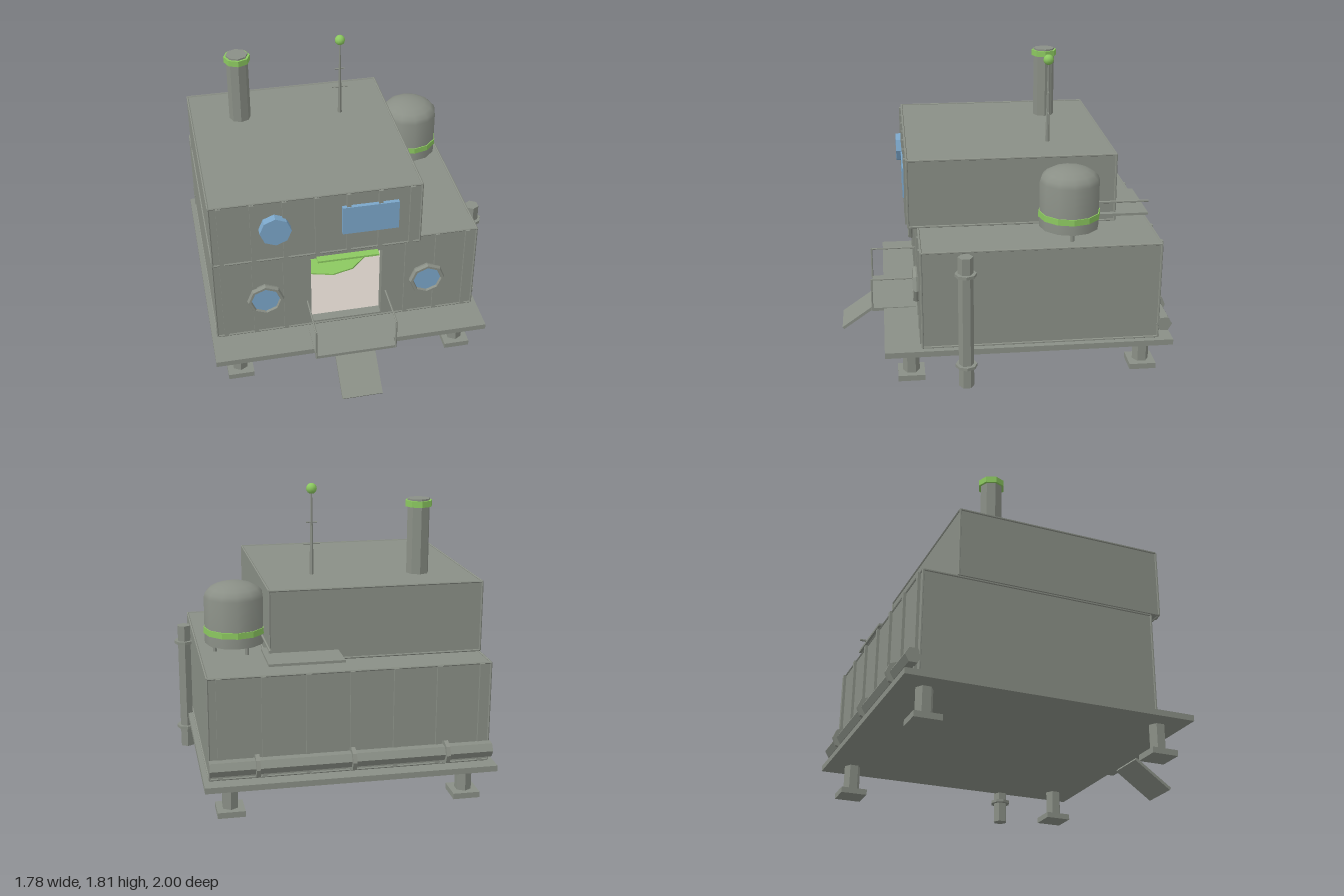
import * as THREE from 'three';
import { toCreasedNormals } from 'three/addons/utils/BufferGeometryUtils.js';

export function createModel() {
  const model = new THREE.Group();
  const colour = (name, color) => {
    const m = new THREE.MeshStandardMaterial({ color });
    m.name = name;
    return m;
  };
  const grey = colour('wall grey', 0x8a8f86);
  const green = colour('accent green', 0x8cc860);
  const blue = colour('window blue', 0x7ba6c9);
  const beige = colour('interior beige', 0xcbc3bc);

  // Helpers
  const add = (name, geo, mat, x = 0, y = 0, z = 0, parent = model) => {
    const m = new THREE.Mesh(geo, mat);
    m.name = name;
    m.position.set(x, y, z);
    parent.add(m);
    return m;
  };
  const box = (name, mat, x0, x1, y0, y1, z0, z1) =>
    add(name, new THREE.BoxGeometry(x1 - x0, y1 - y0, z1 - z0), mat, (x0 + x1) / 2, (y0 + y1) / 2, (z0 + z1) / 2);
  const flat = (geo) => toCreasedNormals(geo, 0.5);
  const pole = (name, mat, r, y0, y1, x, z, sides = 6, rTop = r) =>
    add(name, flat(new THREE.CylinderGeometry(rTop, r, y1 - y0, sides)), mat, x, (y0 + y1) / 2, z);
  const rod = (name, mat, r, a, b, sides = 6) => {
    const from = new THREE.Vector3(...a), to = new THREE.Vector3(...b);
    const dir = to.clone().sub(from);
    const m = add(name, flat(new THREE.CylinderGeometry(r, r, dir.length(), sides)), mat);
    m.position.copy(from).add(to).multiplyScalar(0.5);
    m.quaternion.setFromUnitVectors(new THREE.Vector3(0, 1, 0), dir.normalize());
    return m;
  };
  // Thin round trim along all twelve edges of a block
  const edgeTrim = (name, x0, x1, y0, y1, z0, z1) => {
    for (const y of [y0, y1]) {
      for (const z of [z0, z1]) rod(name, grey, 0.007, [x0, y, z], [x1, y, z]);
      for (const x of [x0, x1]) rod(name, grey, 0.007, [x, y, z0], [x, y, z1]);
    }
    for (const x of [x0, x1]) for (const z of [z0, z1]) rod(name, grey, 0.007, [x, y0, z], [x, y1, z]);
  };

  // Deck on four legs
  box('deck', grey, -0.89, 0.815, 0.195, 0.23, -0.985, 0.73);
  for (const x of [-0.735, 0.66]) for (const z of [-0.825, 0.575]) {
    pole('leg', grey, 0.05, 0.03, 0.2, x, z);
    box('foot', grey, x - 0.08, x + 0.08, 0, 0.035, z - 0.08, z + 0.08);
  }

  // Hollow lower storey; the front wall has a doorway
  const front = new THREE.Shape([[-0.855, 0.24], [0.78, 0.24], [0.78, 0.835], [-0.855, 0.835]]
    .map((p) => new THREE.Vector2(...p)));
  front.holes.push(new THREE.Path([[-0.26, 0.255], [-0.26, 0.76], [0.185, 0.76], [0.185, 0.255]]
    .map((p) => new THREE.Vector2(...p))));
  add('frontWall', new THREE.ExtrudeGeometry(front, { depth: 0.06, bevelEnabled: false }), grey, 0, 0, 0.447);
  box('backWall', grey, -0.855, 0.78, 0.24, 0.835, -0.895, -0.85);
  box('rightWall', grey, -0.855, -0.81, 0.24, 0.835, -0.85, 0.447);
  box('leftWall', grey, 0.735, 0.78, 0.24, 0.835, -0.85, 0.447);
  box('lowerRoof', grey, -0.81, 0.735, 0.8, 0.835, -0.85, 0.447);
  edgeTrim('lowerTrim', -0.855, 0.78, 0.238, 0.835, -0.895, 0.507);

  // Room lining, rug and hanging lamp
  box('roomFloor', beige, -0.81, 0.735, 0.23, 0.25, -0.85, 0.447);
  box('roomCeiling', beige, -0.81, 0.735, 0.792, 0.8, -0.85, 0.447);
  box('roomBack', beige, -0.81, 0.735, 0.25, 0.792, -0.85, -0.842);
  box('roomSide', beige, -0.81, -0.802, 0.25, 0.792, -0.842, 0.447);
  box('roomSide', beige, 0.727, 0.735, 0.25, 0.792, -0.842, 0.447);
  pole('rug', green, 0.28, 0.25, 0.26, -0.037, -0.19, 12);
  const lamp = [[0, 0.625], [0.043, 0.66], [0.043, 0.683], [0.145, 0.683], [0.158, 0.695],
    [0.145, 0.708], [0.043, 0.708], [0.043, 0.735], [0.02, 0.755], [0.02, 0.795]];
  add('lamp', flat(new THREE.LatheGeometry(lamp.map((p) => new THREE.Vector2(...p)), 10)), green, -0.037, 0, -0.19);
  box('doorLintel', green, -0.225, 0.155, 0.76, 0.773, 0.505, 0.555);

  // Upper storey
  box('upperStorey', grey, -0.855, 0.4, 0.848, 1.265, -0.69, 0.565);
  edgeTrim('upperTrim', -0.855, 0.4, 0.848, 1.265, -0.69, 0.565);

  // Wall ribs
  for (let i = 0; i < 9; i++) {
    const x = -0.8 + i * 0.19;
    if (i < 3 || i > 5) box('frontRib', grey, x - 0.013, x + 0.013, 0.24, 0.835, 0.5, 0.522);
    if (i < 7) {
      box('upperRib', grey, x - 0.013, x + 0.013, 0.85, 1.263, 0.56, 0.583);
      const xb = -0.8 + i * 0.2533;
      box('backRib', grey, xb - 0.014, xb + 0.014, 0.24, 0.835, -0.912, -0.89);
    }
  }

  // Windows
  const disc = (r, depth) => flat(new THREE.CylinderGeometry(r, r, depth, 8).rotateX(Math.PI / 2));
  for (const x of [-0.547, 0.47]) {
    add('portholeGlass', disc(0.1, 0.03), blue, x, 0.508, 0.52);
    add('portholeRing', flat(new THREE.TorusGeometry(0.1, 0.015, 6, 8).scale(1, 1, 1.5)), grey, x, 0.508, 0.53);
  }
  add('roundWindow', disc(0.094, 0.05), blue, -0.48, 1.08, 0.59);
  box('wideWindow', blue, -0.08, 0.26, 0.985, 1.175, 0.56, 0.59);

  // Porch with railings and ramp
  box('porch', grey, -0.287, 0.215, 0.215, 0.235, 0.53, 0.802);
  for (const x of [-0.285, 0.212]) {
    rod('railPost', grey, 0.006, [x, 0.22, 0.802], [x, 0.435, 0.802]);
    rod('railTop', grey, 0.006, [x, 0.43, 0.808], [x, 0.43, 0.51]);
  }
  const ramp = add('ramp', new THREE.BoxGeometry(0.25, 0.018, 0.29), grey, -0.038, 0.123, 0.878);
  ramp.rotation.x = Math.atan2(0.165, 0.235);

  // Upright pipe with flanges on the left side
  pole('drainPipe', grey, 0.045, 0, 0.825, 0.825, 0.255);
  for (const y of [0.135, 0.715]) pole('pipeFlange', grey, 0.064, y - 0.009, y + 0.009, 0.825, 0.255, 8);

  // Horizontal pipe along the back
  rod('backPipe', grey, 0.047, [-0.86, 0.32, -0.932], [0.785, 0.32, -0.932]);
  for (const x of [-0.587, -0.037, 0.513])
    rod('pipeRing', grey, 0.07, [x - 0.012, 0.32, -0.932], [x + 0.012, 0.32, -0.932], 8);

  // Chimney
  pole('chimney', grey, 0.068, 1.26, 1.715, -0.547, -0.383, 8);
  pole('chimneyCollar', green, 0.082, 1.668, 1.705, -0.547, -0.383, 8);

  // Antenna
  pole('antennaMast', grey, 0.014, 1.26, 1.77, 0.088, -0.317, 6, 0.004);
  rod('antennaBar', grey, 0.004, [0.038, 1.45, -0.317], [0.138, 1.45, -0.317]);
  rod('antennaBar', grey, 0.004, [0.055, 1.58, -0.317], [0.121, 1.58, -0.317]);
  add('antennaBall', new THREE.SphereGeometry(0.032, 12, 8), green, 0.088, 1.78, -0.317);

  // Domed water tank on three legs
  const profile = [[0, 0.892], [0.178, 0.892], [0.178, 1.17]];
  for (let i = 1; i <= 5; i++) {
    const a = (i / 5) * Math.PI / 2;
    profile.push([i === 5 ? 0 : 0.178 * Math.cos(a), 1.17 + 0.088 * Math.sin(a)]);
  }
  add('tank', toCreasedNormals(new THREE.LatheGeometry(profile.map((p) => new THREE.Vector2(...p)), 12), 0.7),
    grey, 0.565, 0, -0.38);
  pole('tankBand', green, 0.184, 0.953, 0.99, 0.565, -0.38, 12);
  for (let i = 0; i < 3; i++) {
    const a = (i * Math.PI * 2) / 3;
    pole('tankLeg', grey, 0.013, 0.83, 0.9, 0.565 + 0.12 * Math.cos(a), -0.38 + 0.12 * Math.sin(a));
  }

  // Rear ledge and its rail
  box('rearLedge', grey, 0, 0.435, 0.885, 0.9, -0.89, -0.575);
  rod('ledgeRail', grey, 0.008, [0.425, 0.973, -0.89], [0.425, 0.973, -0.57]);

  return model;
}
